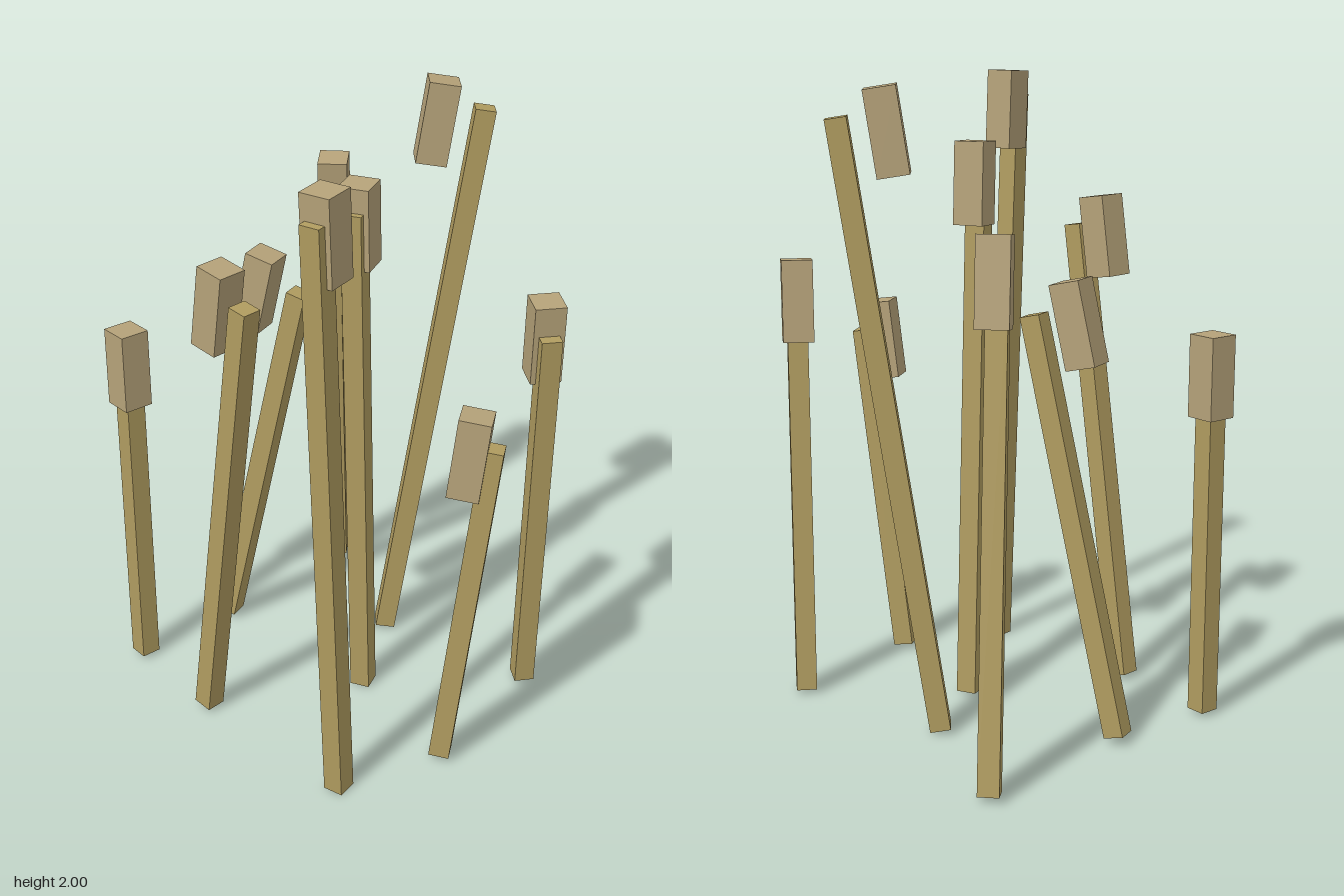
import * as THREE from 'three';

// Field of leaning square posts, each with a block at its top.
// x, z: place; length, mid, top: post length, post centre height, block centre height
// dx, dz: direction of lean seen from above; tilt: lean angle
const SHORT = { length: 1.12, mid: 0.582, top: 1.11 };
const LOW = { length: 1.318, mid: 0.676, top: 1.303 };
const MEDIUM = { length: 1.51, mid: 0.772, top: 1.489 };
const HIGH = { length: 1.72, mid: 0.87, top: 1.677 };
const TALL = { length: 1.91, mid: 0.963, top: 1.867 };

const POSTS = [
  // back row
  { x: -0.555, z: -0.397, size: MEDIUM, dx: 53, dz: 54, tilt: 0.137 },
  { x: -0.059, z: -0.397, size: TALL, dx: 62, dz: -78.5, tilt: 0.155 },
  { x: 0.438, z: -0.397, size: LOW, dx: 42.5, dz: 25, tilt: 0.085 },
  // middle row, shifted sideways
  { x: -0.422, z: 0.032, size: LOW, dx: 93.5, dz: -39, tilt: 0.228 },
  { x: 0.074, z: 0.032, size: HIGH, dx: 18.5, dz: 35.5, tilt: 0.046 },
  { x: 0.571, z: 0.032, size: SHORT, dx: 43.5, dz: -34.5, tilt: 0.12 },
  // front row
  { x: -0.555, z: 0.461, size: SHORT, dx: 1, dz: 0, tilt: 0 },
  { x: -0.059, z: 0.461, size: MEDIUM, dx: 80, dz: -9.5, tilt: 0.149 },
  { x: 0.438, z: 0.461, size: TALL, dx: 11, dz: 42, tilt: 0.048 },
];

export function createModel() {
  const model = new THREE.Group();
  model.name = 'postField';

  const stemMaterial = new THREE.MeshStandardMaterial({ color: 0xb09c60 });
  const headMaterial = new THREE.MeshStandardMaterial({ color: 0xb5a279 });
  const headGeometry = new THREE.BoxGeometry(0.098, 0.26, 0.098);

  for (const { x, z, size, dx, dz, tilt } of POSTS) {
    const post = new THREE.Group();
    post.name = 'post';
    post.position.set(x, 0, z);

    // stem turned about its own centre
    const stem = new THREE.Mesh(new THREE.BoxGeometry(0.065, size.length, 0.065), stemMaterial);
    stem.name = 'stem';
    stem.position.y = size.mid;

    // block with the same turn, centred above the post's place
    const head = new THREE.Mesh(headGeometry, headMaterial);
    head.name = 'head';
    head.position.y = size.top;

    for (const part of [stem, head]) {
      part.rotation.set(0, Math.atan2(-dz, dx), -tilt);
      post.add(part);
    }
    model.add(post);
  }
  return model;
}
